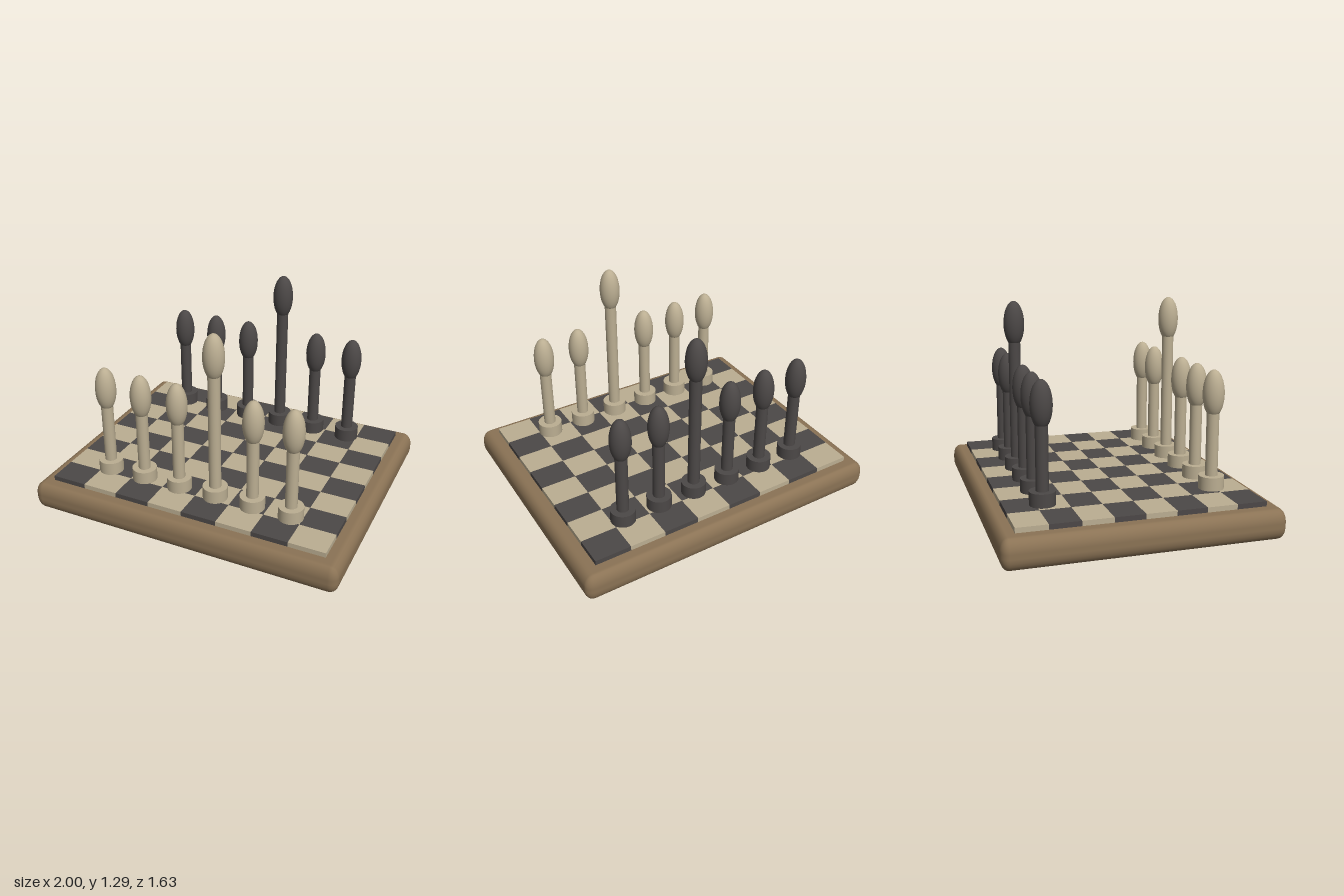
import * as THREE from 'three';
import { RoundedBoxGeometry } from 'three/addons/geometries/RoundedBoxGeometry.js';

const mat = (name, color) => {
  const m = new THREE.MeshStandardMaterial({ color });
  m.name = name;
  return m;
};

function part(parent, name, geometry, material, x, y, z) {
  const m = new THREE.Mesh(geometry, material);
  m.name = name;
  m.position.set(x, y, z);
  parent.add(m);
  return m;
}

export function createModel() {
  const model = new THREE.Group();
  model.name = 'chessSet';
  const wood = mat('brown wood', 0x8b7355);
  const light = mat('pale cream', 0xbbae92);
  const dark = mat('charcoal', 0x4c4847);

  // Board slab with softly rounded edges
  const slab = new RoundedBoxGeometry(1.6, 0.106, 1.63, 3, 0.045);
  slab.scale(1.25, 1.7, 1);
  part(model, 'board', slab, wood, 0, 0.09, 0);

  // Checkered squares
  const squares = new THREE.Group();
  squares.name = 'squares';
  model.add(squares);
  const w = 0.225, d = 0.181;
  const tile = new THREE.BoxGeometry(w, 0.04, d);
  for (let row = 0; row < 8; row++) {
    for (let col = 0; col < 8; col++) {
      part(squares, 'square', tile, (row + col) % 2 ? dark : light,
        (col - 3.5) * w, 0.19, (row - 3.5) * d);
    }
  }

  // Pieces: round base, slim stem, egg-shaped head
  const base = new THREE.CylinderGeometry(0.076, 0.076, 0.08, 32);
  const head = new THREE.SphereGeometry(1, 24, 16);
  head.scale(0.064, 0.141, 0.064);
  const stem = (h) => new THREE.CylinderGeometry(0.037, 0.037, h, 24);
  for (const [side, z, material] of [['light', 0.51, light], ['dark', -0.51, dark]]) {
    for (let i = 0; i < 6; i++) {
      const tall = i === 3;
      const headY = tall ? 1.145 : 0.788;
      const piece = new THREE.Group();
      piece.name = side + (tall ? 'TallPiece' : 'Piece');
      piece.position.set((i - 2.5) * 0.2436, 0, z);
      model.add(piece);
      part(piece, 'base', base, material, 0, 0.26, 0);
      part(piece, 'stem', stem(headY - 0.28), material, 0, (headY + 0.28) / 2, 0);
      part(piece, 'head', head, material, 0, headY, 0);
    }
  }
  return model;
}
